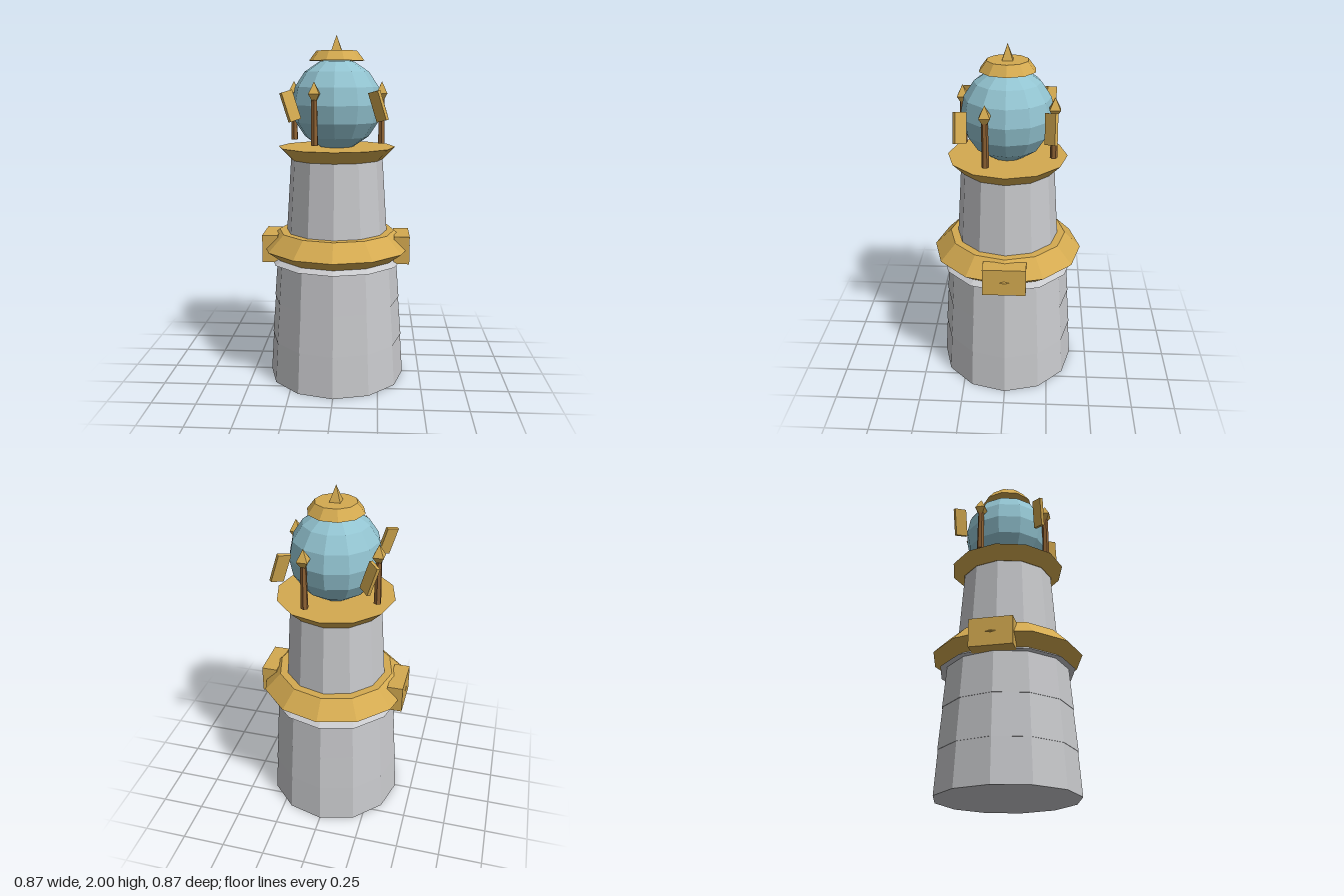
import * as THREE from 'three';

const material = (name, color) =>
  Object.assign(new THREE.MeshStandardMaterial({ color, flatShading: true }), { name });

export function createModel() {
  const model = new THREE.Group();
  model.name = 'lighthouse';
  const stone = material('stone grey', 0xc8c9cc);
  const gold = material('gold', 0xd4aa50);
  const glass = material('pale blue', 0x92c3d0);
  const wood = material('bronze brown', 0x8f6233);

  const add = (name, geometry, mat, x = 0, y = 0, z = 0, parent = model) => {
    const mesh = new THREE.Mesh(geometry, mat);
    mesh.name = name;
    mesh.position.set(x, y, z);
    parent.add(mesh);
    return mesh;
  };
  // Faceted tapered drum standing between two heights
  const drum = (name, mat, rBottom, y0, rTop, y1, sides = 12, turn = 0, x = 0, z = 0) => {
    const g = new THREE.CylinderGeometry(rTop, rBottom, y1 - y0, sides);
    g.rotateY(turn);
    return add(name, g, mat, x, (y0 + y1) / 2, z);
  };

  // Stone tower: three slightly stepped courses, a lip and the upper shaft
  drum('lowerCourse', stone, 0.4, 0, 0.384, 0.24);
  drum('middleCourse', stone, 0.387, 0.24, 0.368, 0.475);
  drum('upperCourse', stone, 0.371, 0.475, 0.352, 0.715);
  drum('stoneLip', stone, 0.39, 0.71, 0.35, 0.735);
  drum('upperShaft', stone, 0.304, 0.73, 0.265, 1.31);

  // Gold belt with a sharp outer ridge
  const belt = [[0, 0.725], [0.345, 0.725], [0.433, 0.79], [0.338, 0.885], [0, 0.885]];
  add('belt', new THREE.LatheGeometry(belt.map(([r, y]) => new THREE.Vector2(r, y)), 12), gold);

  // Blocks on both sides of the belt
  for (const s of [-1, 1]) {
    add('beltBlock', new THREE.BoxGeometry(0.09, 0.16, 0.24), gold, s * 0.38, 0.79, 0);
  }

  // Gallery, lantern globe, cap and spire
  drum('gallery', gold, 0.268, 1.305, 0.337, 1.375);
  add('lanternGlobe', new THREE.SphereGeometry(0.258, 12, 8), glass, 0, 1.615, 0);
  drum('cap', gold, 0.157, 1.858, 0.115, 1.913, 10, Math.PI / 2);
  drum('spire', gold, 0.042, 1.912, 0, 2, 4, Math.PI / 4);

  // Four posts with square pointed finials
  for (let i = 0; i < 4; i++) {
    const a = i * Math.PI / 2 + Math.PI / 8;
    const x = 0.277 * Math.cos(a), z = 0.277 * Math.sin(a);
    drum('post', wood, 0.021, 1.405, 0.017, 1.65, 6, 0, x, z);
    drum('finialBase', gold, 0.012, 1.638, 0.042, 1.68, 4, Math.PI / 4, x, z);
    drum('finialTip', gold, 0.042, 1.68, 0, 1.745, 4, Math.PI / 4, x, z);
  }

  // Four floating fins, set radially and all leaning to the same side
  for (const sx of [-1, 1]) {
    for (const sz of [-1, 1]) {
      const g = new THREE.BoxGeometry(0.075, 0.163, 0.02);
      g.rotateY(-sx * sz * Math.PI / 4);
      g.rotateZ(0.3);
      add('fin', g, gold, sx * 0.237, 1.615, sz * 0.237);
    }
  }
  return model;
}
